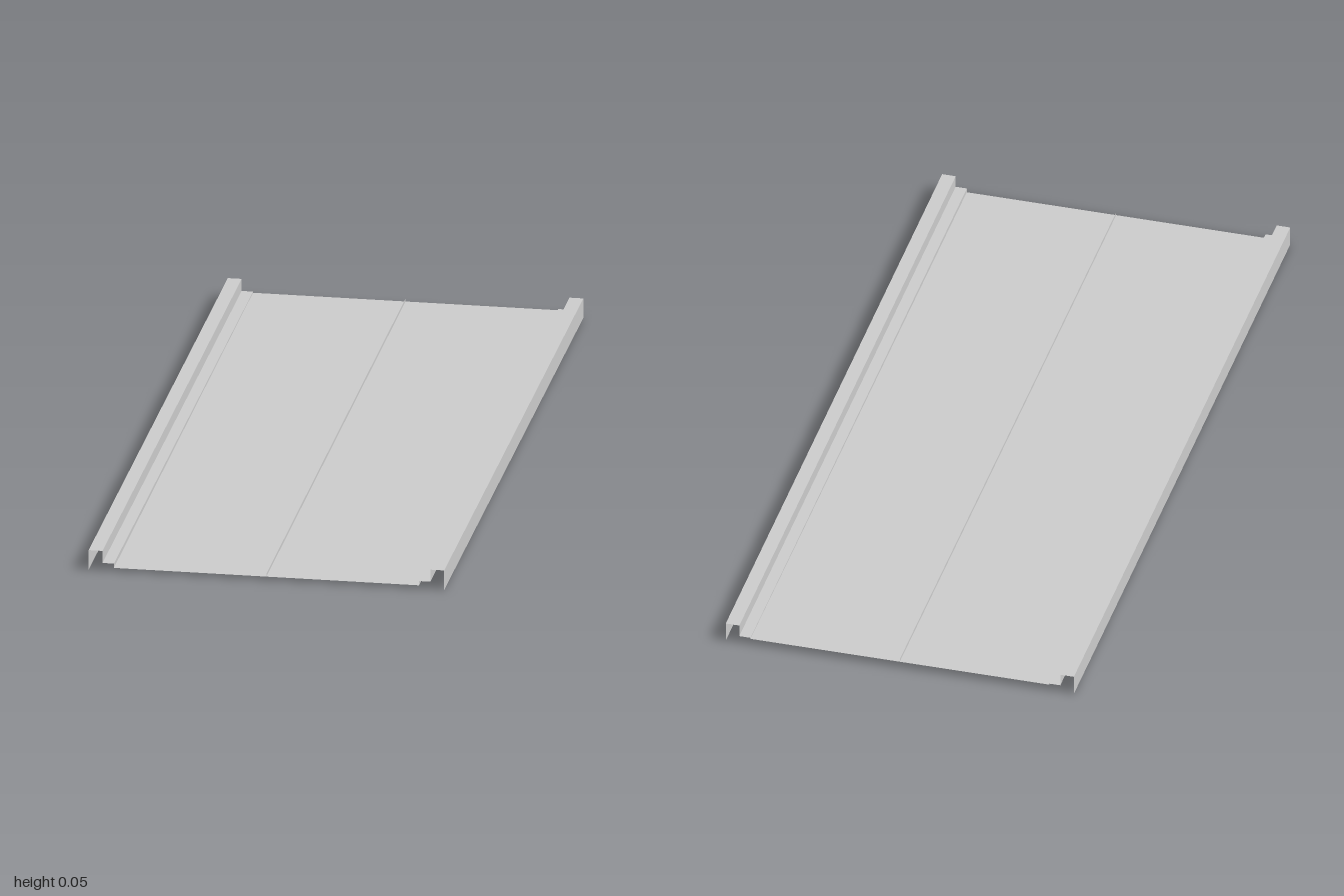
import * as THREE from 'three';

const material = new THREE.MeshStandardMaterial({
  color: 0xcccccc, flatShading: true, side: THREE.DoubleSide,
});

// Height of the gently sloping pan along its length
const panY = (z) => 0.012 - 0.004 * z;

// Folded sheet: joins a front and a back profile of [x, y] points
function sheet(name, front, back = front) {
  const positions = [], index = [];
  front.forEach(([x, y], i) => {
    positions.push(x, y, 1, back[i][0], back[i][1], -1);
    if (i > 0) {
      const a = 2 * i - 2;
      index.push(a, a + 2, a + 1, a + 2, a + 3, a + 1);
    }
  });
  const geometry = new THREE.BufferGeometry();
  geometry.setAttribute('position', new THREE.Float32BufferAttribute(positions, 3));
  geometry.setIndex(index);
  geometry.computeVertexNormals();
  const mesh = new THREE.Mesh(geometry, material);
  mesh.name = name;
  return mesh;
}

export function createModel() {
  const group = new THREE.Group();
  group.name = 'roofPanel';

  // Broad flat pan between the two seams
  const half = 0.375;
  const pan = (z) => [[-half, panY(z)], [half, panY(z)]];
  group.add(sheet('pan', pan(1), pan(-1)));

  // Low stiffening rib down the middle
  const rib = (z) => [[0, panY(z)], [0, panY(z) + 0.008]];
  group.add(sheet('centreRib', rib(1), rib(-1)));

  // Raised seam on each side: outer wall, cap, inner wall, ledge, step to pan
  for (const [name, s] of [['leftSeam', 1], ['rightSeam', -1]]) {
    const profile = (z) => [
      [0.437, 0], [0.437, 0.05], [0.403, 0.05],
      [0.403, 0.019], [half, 0.019], [half, panY(z)],
    ].map(([x, y]) => [s * x, y]);
    group.add(sheet(name, profile(1), profile(-1)));
  }
  return group;
}
